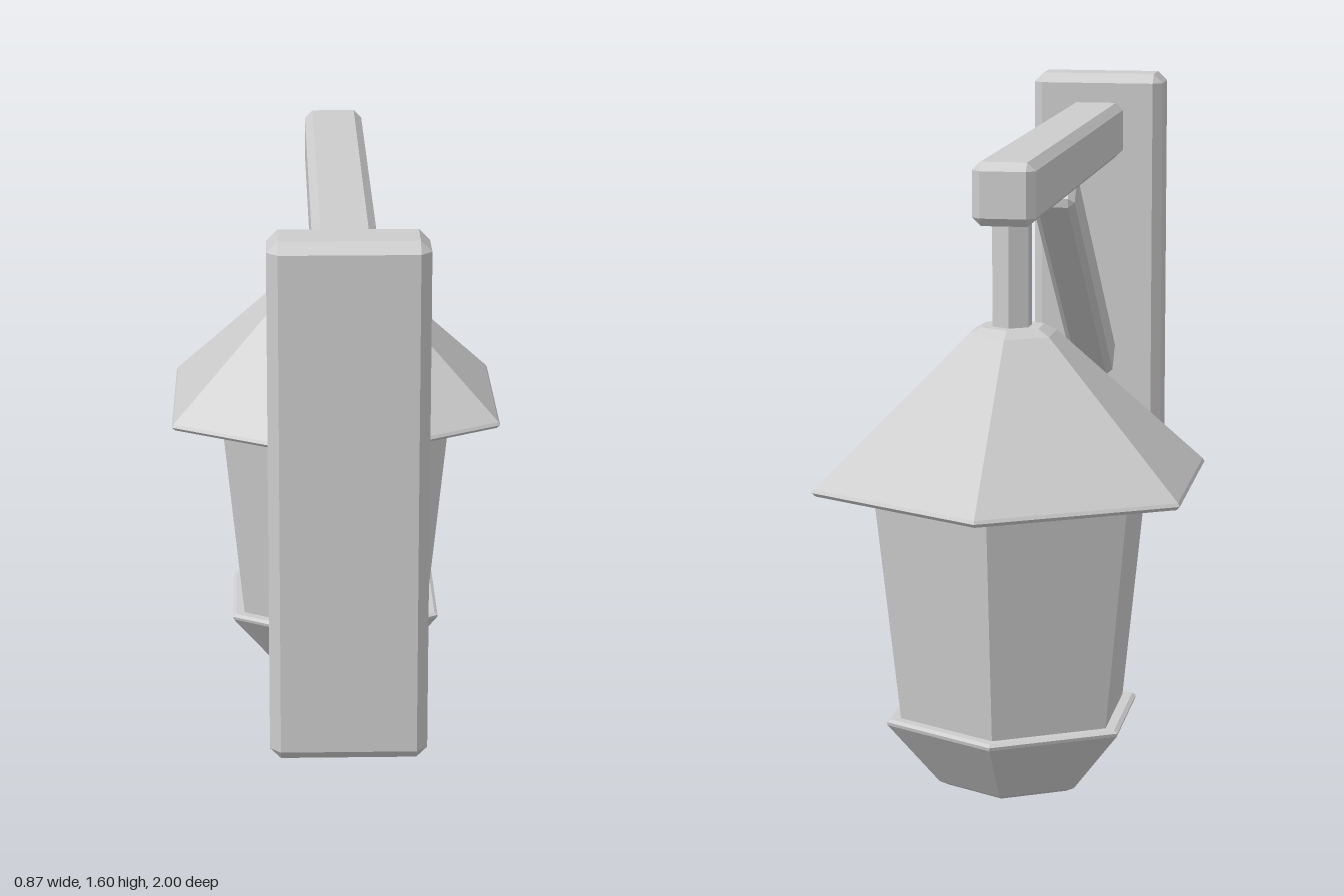
import * as THREE from 'three';
import { ConvexGeometry } from 'three/addons/geometries/ConvexGeometry.js';

// Box with chamfered edges: each corner becomes three points
function chamferBox(w, h, d, c) {
  const points = [];
  for (const sx of [-1, 1]) for (const sy of [-1, 1]) for (const sz of [-1, 1]) {
    for (let axis = 0; axis < 3; axis++) {
      const inset = [c, c, c];
      inset[axis] = 0;
      points.push(new THREE.Vector3(
        sx * (w / 2 - inset[0]), sy * (h / 2 - inset[1]), sz * (d / 2 - inset[2])));
    }
  }
  return new ConvexGeometry(points);
}

// Six-sided faceted solid from a bottom-to-top [radius, y] profile
function hexSolid(profile) {
  const points = profile.map(([r, y]) => new THREE.Vector2(r, y));
  const geometry = new THREE.LatheGeometry(points, 6).toNonIndexed();
  geometry.computeVertexNormals();
  return geometry;
}

export function createModel() {
  const model = new THREE.Group();
  model.name = 'wallLantern';
  const grey = new THREE.MeshStandardMaterial({ color: 0xcccccc });
  grey.name = 'light grey';

  const add = (parent, name, geometry, x = 0, y = 0, z = 0) => {
    const mesh = new THREE.Mesh(geometry, grey);
    mesh.name = name;
    mesh.position.set(x, y, z);
    parent.add(mesh);
    return mesh;
  };

  // Wall bracket
  add(model, 'wallPlate', chamferBox(0.36, 1.225, 0.147, 0.025), 0, 0.985, 0.9265);
  add(model, 'beam', chamferBox(0.15, 0.15, 1.483, 0.02), 0, 1.445, 0.1135);
  const brace = add(model, 'brace', chamferBox(0.11, 0.11, 0.92, 0.016), 0, 1.087, 0.47);
  brace.rotation.x = THREE.MathUtils.degToRad(39);

  // Hanging lantern
  const lantern = new THREE.Group();
  lantern.name = 'lantern';
  lantern.position.z = -0.5;
  model.add(lantern);

  add(lantern, 'hangingRod', hexSolid([[0, 1.1], [0.05, 1.1], [0.05, 1.38], [0, 1.38]]));
  add(lantern, 'roof', hexSolid([
    [0, 0.743], [0.49, 0.743], [0.5, 0.752], [0.495, 0.76], [0.113, 1.103], [0.08, 1.12], [0, 1.12],
  ]));
  add(lantern, 'lampBody', hexSolid([[0, 0.17], [0.285, 0.17], [0.35, 0.75], [0, 0.75]]));
  add(lantern, 'base', hexSolid([
    [0, 0], [0.165, 0], [0.19, 0.012], [0.32, 0.167], [0.322, 0.175], [0.312, 0.181], [0, 0.181],
  ]));

  return model;
}
